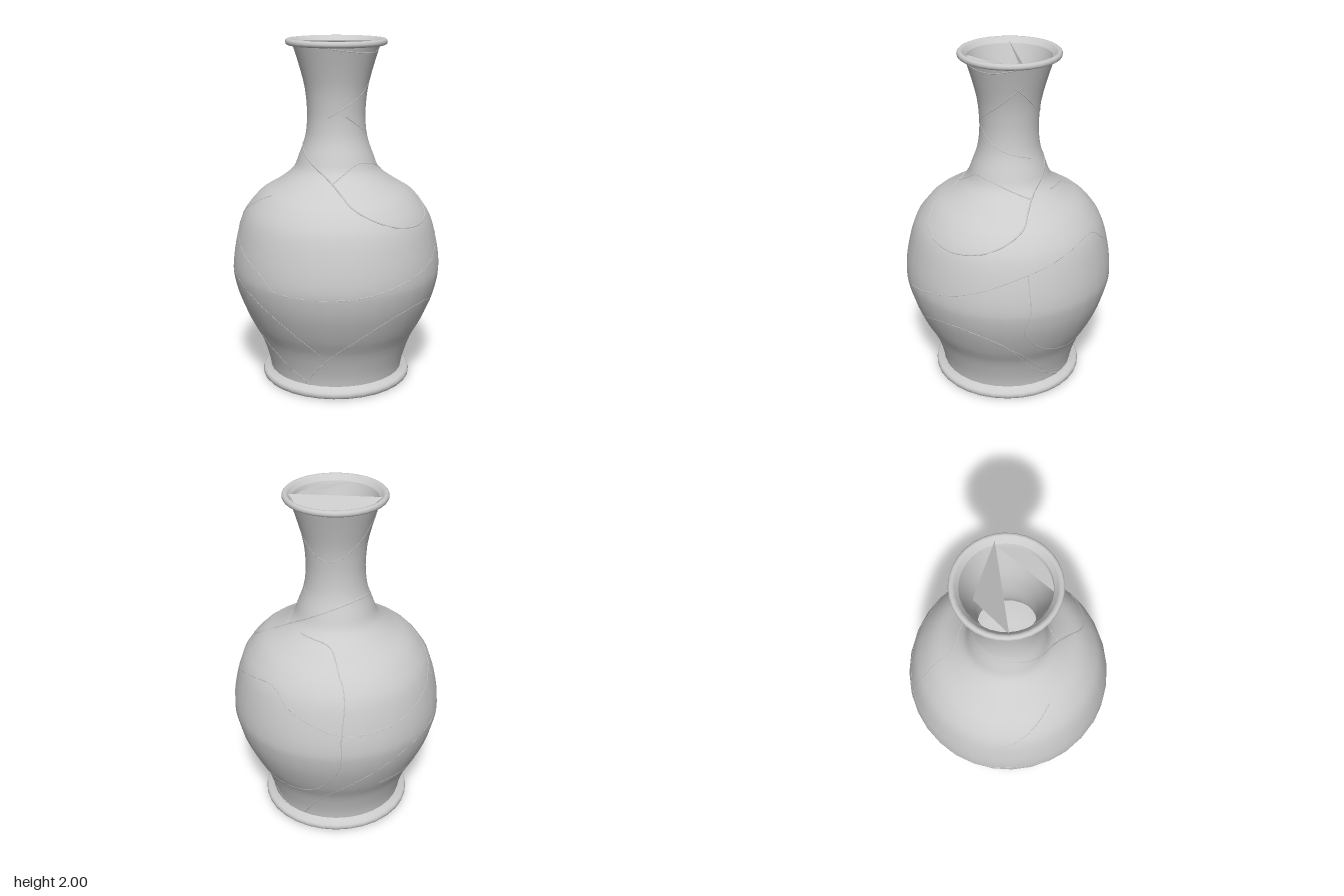
import * as THREE from 'three';
import { toCreasedNormals } from 'three/addons/utils/BufferGeometryUtils.js';

const SIDES = 32;
const WALL = 0.012;
const material = new THREE.MeshStandardMaterial({ color: 0xcccccc });
const thin = new THREE.MeshStandardMaterial({ color: 0xcccccc, side: THREE.DoubleSide });
const vec2 = (list) => list.map(([x, y]) => new THREE.Vector2(x, y));

// Outer profile of belly, shoulder and neck as [radius, height]
const profile = new THREE.SplineCurve(vec2([
  [0.39, 0.05], [0.405, 0.13], [0.45, 0.26], [0.51, 0.37], [0.57, 0.51], [0.6, 0.62],
  [0.607, 0.7], [0.592, 0.82], [0.55, 0.98], [0.485, 1.08], [0.42, 1.14], [0.335, 1.19],
  [0.25, 1.26], [0.215, 1.34], [0.183, 1.43], [0.17, 1.51], [0.168, 1.6], [0.18, 1.72],
  [0.21, 1.84], [0.25, 1.97],
])).getPoints(57);

// Body radius at a height
function radiusAt(y) {
  let i = 1;
  while (i < profile.length - 1 && profile[i].y < y) i++;
  const a = profile[i - 1], b = profile[i];
  const t = THREE.MathUtils.clamp((y - a.y) / (b.y - a.y), 0, 1);
  return THREE.MathUtils.lerp(a.x, b.x, t);
}

// Point at an angle in degrees from the front towards +x
function polar(degrees, r, y) {
  const a = THREE.MathUtils.degToRad(degrees);
  return new THREE.Vector3(Math.sin(a) * r, y, Math.cos(a) * r);
}

// Point on the faceted body
function onBody(degrees, y) {
  const step = (Math.PI * 2) / SIDES;
  const a = THREE.MathUtils.degToRad(degrees + 720);
  const facet = Math.cos(step / 2) / Math.cos((a % step) - step / 2);
  return polar(degrees, radiusAt(y) * facet - 0.002, y);
}

// The old vase leans very slightly to its left and back
function lean(geometry) {
  const p = geometry.attributes.position;
  for (let i = 0; i < p.count; i++) {
    const y = p.getY(i);
    p.setXYZ(i, p.getX(i) - 0.005 + 0.006 * y, y, p.getZ(i) - 0.003 * y);
  }
  return geometry;
}

export function createModel() {
  const group = new THREE.Group();
  const add = (name, geometry, mat = material) => {
    const mesh = new THREE.Mesh(lean(geometry), mat);
    mesh.name = name;
    group.add(mesh);
  };
  const lathe = (points) => new THREE.LatheGeometry(points, SIDES);
  const seam = (name, points, closed = false, radius = 0.004) => {
    const curve = new THREE.CatmullRomCurve3(points, closed);
    add(name, new THREE.TubeGeometry(curve, points.length * 2, radius, 5, closed));
  };

  add('body', lathe(profile));

  // Inner wall and floor, running downwards so that they face inwards
  const lining = profile.map((p) => new THREE.Vector2(p.x - WALL, p.y)).reverse();
  add('innerWall', lathe([...lining, ...vec2([[0.375, 0.048], [0.3, 0.07], [0.15, 0.088], [0, 0.092]])]));

  // Foot ring with a domed, recessed underside
  const dome = [[0, 0.08], [0.15, 0.075], [0.3, 0.055], [0.385, 0.028]];
  add('foot', toCreasedNormals(lathe(vec2([
    ...dome, [0.395, 0.004], [0.41, 0], [0.43, 0.003], [0.438, 0.012], [0.44, 0.025],
    [0.437, 0.038], [0.428, 0.045], [0.4, 0.05], [0.393, 0.06], [0.385, 0.065],
  ])), 0.9));

  // Rolled lip
  add('lip', toCreasedNormals(lathe(vec2([
    [0.245, 1.965], [0.275, 1.965], [0.286, 1.97], [0.29, 1.98], [0.288, 1.992],
    [0.28, 2], [0.268, 2], [0.258, 1.99], [0.238, 1.965],
  ])), 0.9));

  // Crack lines over the body as [angle, height]
  const cracks = {
    bellyCrack: [[-154, 0.95], [-127, 0.86], [-100, 0.75], [-85, 0.66], [-42, 0.66], [0, 0.75],
      [20, 0.82], [44, 0.91], [90, 1.02], [110, 0.92], [140, 0.81], [176, 0.84], [206, 0.95],
      [235, 1.1], [246, 1.14]],
    sideShardCrack: [[44, 0.91], [45, 0.7], [43, 0.53], [60, 0.37], [90, 0.31], [120, 0.36],
      [136, 0.56], [138, 0.81], [140, 1.0], [138, 1.1], [128, 1.21], [90, 1.235]],
    frontArchCrack: [[-80, 0.08], [-53, 0.3], [-24, 0.49], [0, 0.55], [21, 0.5], [42, 0.35], [70, 0.1]],
    neckBaseCrack: [[-60, 1.22], [-26, 1.31], [0, 1.31], [27, 1.28], [60, 1.22]],
    neckFrontCrack: [[54, 1.85], [0, 1.7], [-72, 1.57]],
    neckLowerCrack: [[-36, 1.58], [17, 1.48], [75, 1.42]],
    neckBackCrack: [[40, 1.85], [90, 1.7], [125, 1.66], [165, 1.72], [200, 1.85], [212, 1.96]],
    lipCrack: [[-65, 1.96], [0, 1.93], [45, 1.96]],
    lowerSideCrack: [[10, 0.54], [30, 0.45], [53, 0.2], [83, 0.06]],
    lowerBackCrack: [[105, 0.06], [135, 0.35], [180, 0.63], [227, 0.68], [260, 0.55], [291, 0.3], [300, 0.18]],
    backBaseCrack: [[245, 0.6], [225, 0.36], [195, 0.38], [164, 0.38]],
    backFootCrack: [[225, 0.36], [255, 0.2], [283, 0.06]],
  };
  for (const [name, nodes] of Object.entries(cracks)) {
    const path = new THREE.SplineCurve(vec2(nodes)).getPoints(nodes.length * 8);
    seam(name, path.map((p) => onBody(p.x, p.y)));
  }

  // Straight slanting break across shoulder and neck
  const loop = [];
  for (let d = 0; d < 360; d += 5) {
    let low = 0.95, high = 1.5;
    for (let i = 0; i < 25; i++) {
      const mid = (low + high) / 2;
      const plane = 1.309 - 0.583 * radiusAt(mid) * Math.cos(THREE.MathUtils.degToRad(d));
      if (mid < plane) low = mid; else high = mid;
    }
    loop.push(onBody(d, low));
  }
  seam('slantingBreak', loop, true, 0.005);

  // Cracks across the underside, following the dome
  seam('undersideCrack', [polar(120, 0.385, 0.028), polar(135, 0.3, 0.055), polar(172, 0.22, 0.066),
    polar(210, 0.3, 0.055), polar(224, 0.385, 0.028)]);
  seam('undersideCrack', [polar(86, 0.385, 0.028), polar(89, 0.3, 0.055), polar(95, 0.15, 0.075),
    polar(135, 0.02, 0.079), polar(265, 0.15, 0.075), polar(272, 0.3, 0.055), polar(275, 0.385, 0.028)]);

  // Flat broken faces inside the mouth, each a fan of corners
  const chipArc = [-65, -45, -25, -5, 15, 32, 45].map((d) => polar(d, 0.243, 1.975 - 0.03 * Math.cos(THREE.MathUtils.degToRad(d))));
  const sliver = [[-0.145, 1.985, -0.21], [0.18, 1.985, 0.18], [0.165, 1.75, -0.07]].map((c) => new THREE.Vector3(...c));
  for (const corners of [chipArc, sliver]) {
    const geometry = new THREE.BufferGeometry().setFromPoints(corners);
    geometry.setIndex(corners.slice(2).flatMap((_, i) => [0, i + 1, i + 2]));
    geometry.computeVertexNormals();
    add('innerShardFace', geometry, thin);
  }
  return group;
}
